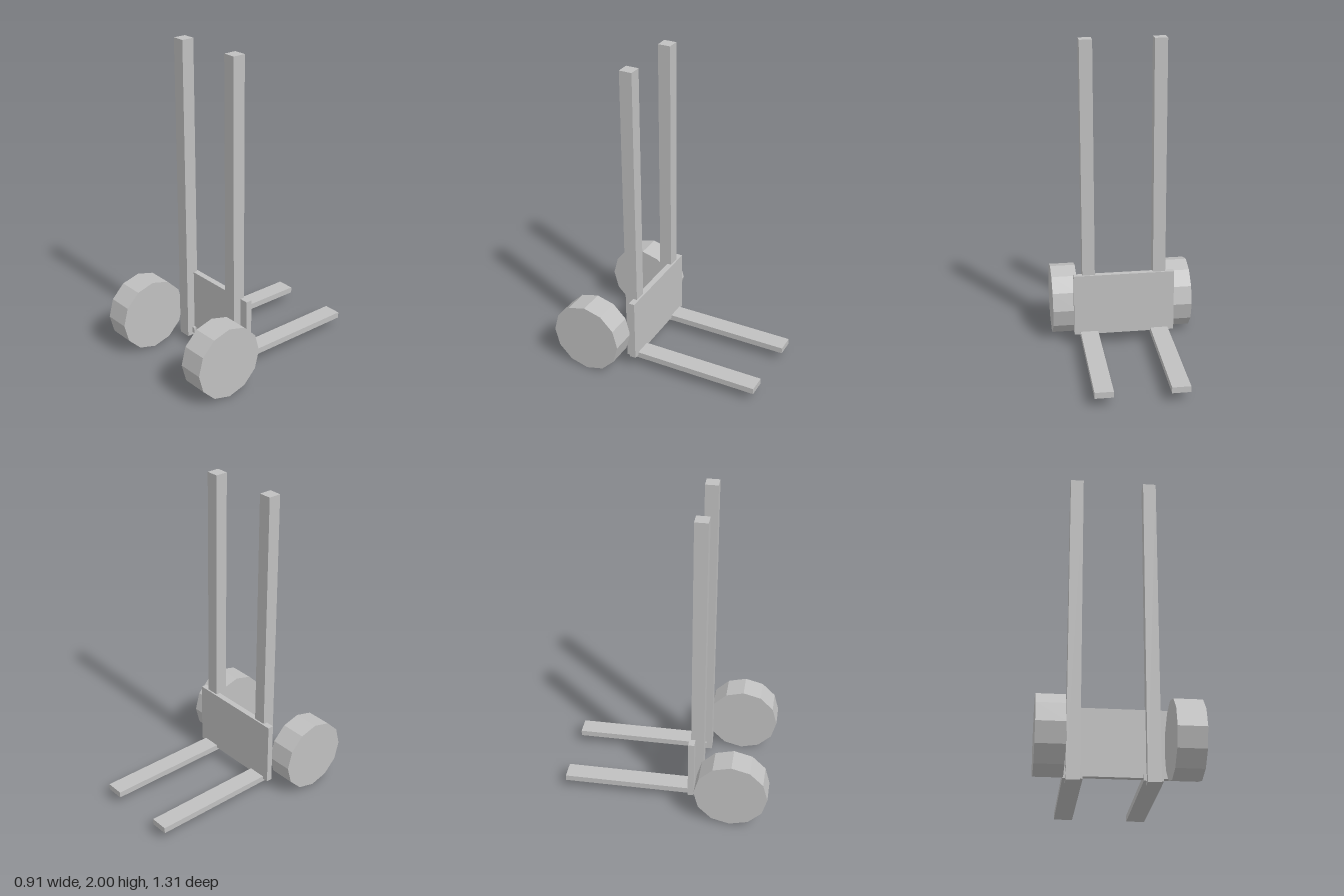
import * as THREE from 'three';

export function createModel() {
  const model = new THREE.Group();
  model.name = 'forkliftMast';
  const grey = new THREE.MeshStandardMaterial({ color: 0xc0c0c0 });
  grey.name = 'plain grey';
  grey.flatShading = true;

  function add(name, geometry, x, y, z) {
    const mesh = new THREE.Mesh(geometry, grey);
    mesh.name = name;
    mesh.position.set(x, y, z);
    model.add(mesh);
    return mesh;
  }

  // Box given by its lower and upper corners
  function box(name, [x0, y0, z0], [x1, y1, z1]) {
    return add(name, new THREE.BoxGeometry(x1 - x0, y1 - y0, z1 - z0),
      (x0 + x1) / 2, (y0 + y1) / 2, (z0 + z1) / 2);
  }

  // Carriage plate joining the masts and the forks
  box('carriagePlate', [-0.324, 0.083, 0.145], [0.324, 0.491, 0.183]);

  const wheelRadius = 0.228;
  for (const [side, s] of [['left', 1], ['right', -1]]) {
    // Upright mast rail
    box(side + 'Mast', [s * 0.228 - 0.04, 0.046, 0.156], [s * 0.228 + 0.04, 2, 0.236]);
    // Fork reaching backwards
    box(side + 'Fork', [s * 0.228 - 0.057, 0.063, -0.654], [s * 0.228 + 0.057, 0.101, 0.2]);
    // Twelve-sided wheel
    const wheel = add(side + 'Wheel',
      new THREE.CylinderGeometry(wheelRadius, wheelRadius, 0.163, 12),
      s * 0.374, wheelRadius, 0.426);
    wheel.rotation.z = Math.PI / 2;
  }
  return model;
}
